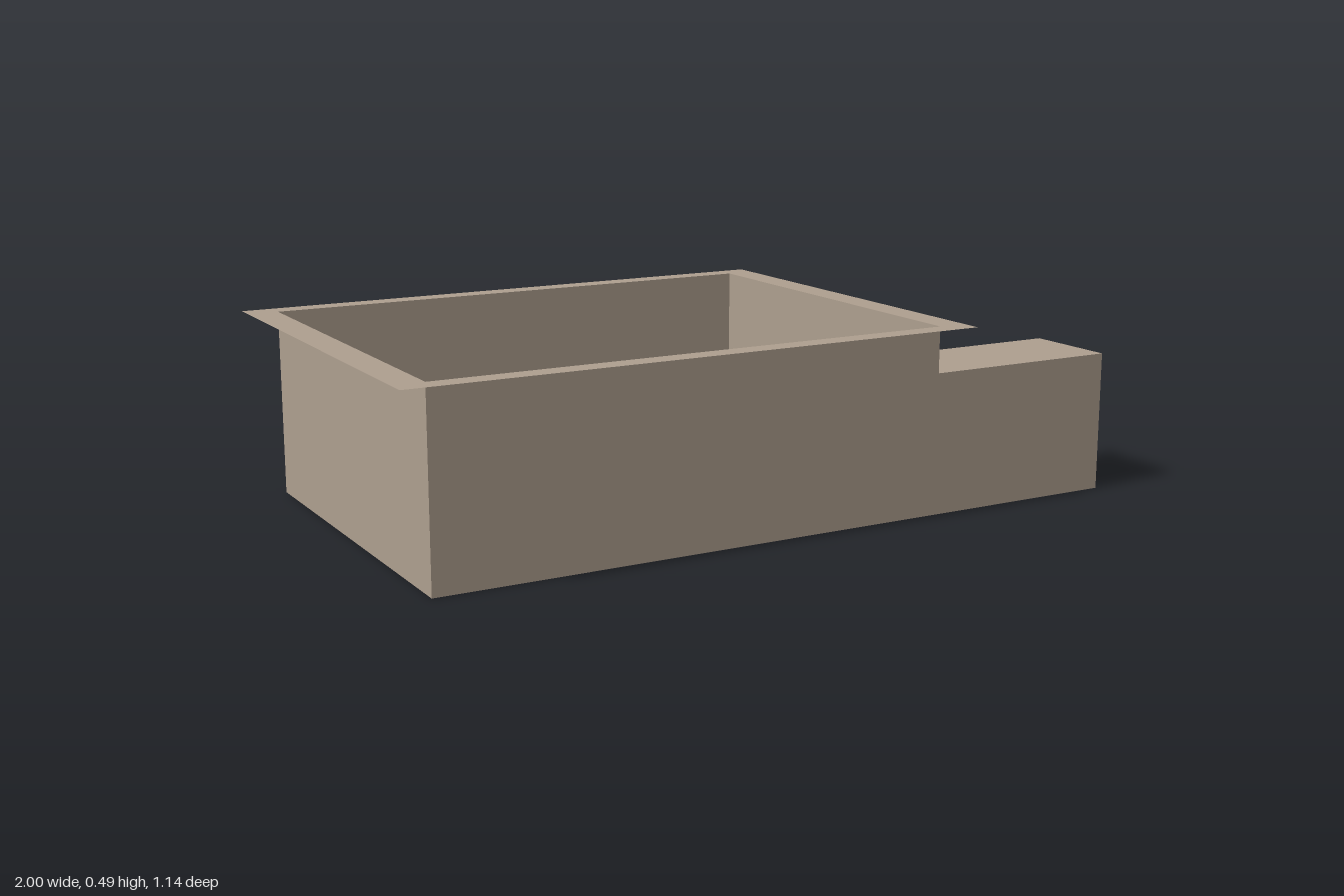
import * as THREE from 'three';

// Main basin, side channel and rim dimensions
const X0 = -0.92, X1 = 0.46, X2 = 1, Z = 0.515, ZC = 0.26;
const H = 0.49, HC = 0.37;
const RX0 = -1, RX1 = 0.535, RZ = 0.57;

const rect = (a0, b0, a1, b1) => [[a0, b0], [a1, b0], [a1, b1], [a0, b1]];

// Placement of a flat outline (a, b) in space
const facingX = x => (a, b) => [x, b, a];
const facingY = y => (a, b) => [a, y, b];
const facingZ = z => (a, b) => [a, b, z];

export function createModel() {
  const group = new THREE.Group();
  group.name = 'basinWithSideChannel';
  const material = new THREE.MeshStandardMaterial({ color: 0xae9f8f, side: THREE.DoubleSide });
  material.name = 'warm taupe';

  // Thin sheet cut from an outline, optionally with a hole
  function panel(name, outline, place, hole) {
    const toPoints = list => list.map(([a, b]) => new THREE.Vector2(a, b));
    const shape = new THREE.Shape(toPoints(outline));
    if (hole) shape.holes.push(new THREE.Path(toPoints(hole)));
    const geometry = new THREE.ShapeGeometry(shape);
    const pos = geometry.attributes.position;
    for (let i = 0; i < pos.count; i++) pos.setXYZ(i, ...place(pos.getX(i), pos.getY(i)));
    geometry.computeVertexNormals();
    const mesh = new THREE.Mesh(geometry, material);
    mesh.name = name;
    group.add(mesh);
  }

  // Floor and front wall run on into the channel
  panel('floor', [[X0, -Z], [X1, -Z], [X1, ZC], [X2, ZC], [X2, Z], [X0, Z]], facingY(0));
  panel('frontWall', [[X0, 0], [X2, 0], [X2, HC], [X1, HC], [X1, H], [X0, H]], facingZ(Z));

  // Remaining basin walls; the left one opens into the channel
  panel('backWall', rect(X0, 0, X1, H), facingZ(-Z));
  panel('rightWall', rect(-Z, 0, Z, H), facingX(X0));
  panel('leftWall', [[-Z, 0], [ZC, 0], [ZC, HC], [Z, HC], [Z, H], [-Z, H]], facingX(X1));

  // Side channel
  panel('channelBackWall', rect(X1, 0, X2, HC), facingZ(ZC));
  panel('channelEnd', rect(ZC, 0, Z, HC), facingX(X2));
  panel('channelTop', rect(X1, ZC, X2, Z), facingY(HC));

  // Flat flange around the opening
  panel('rim', rect(RX0, -RZ, RX1, RZ), facingY(H), rect(X0, -Z, X1, Z));

  return group;
}
